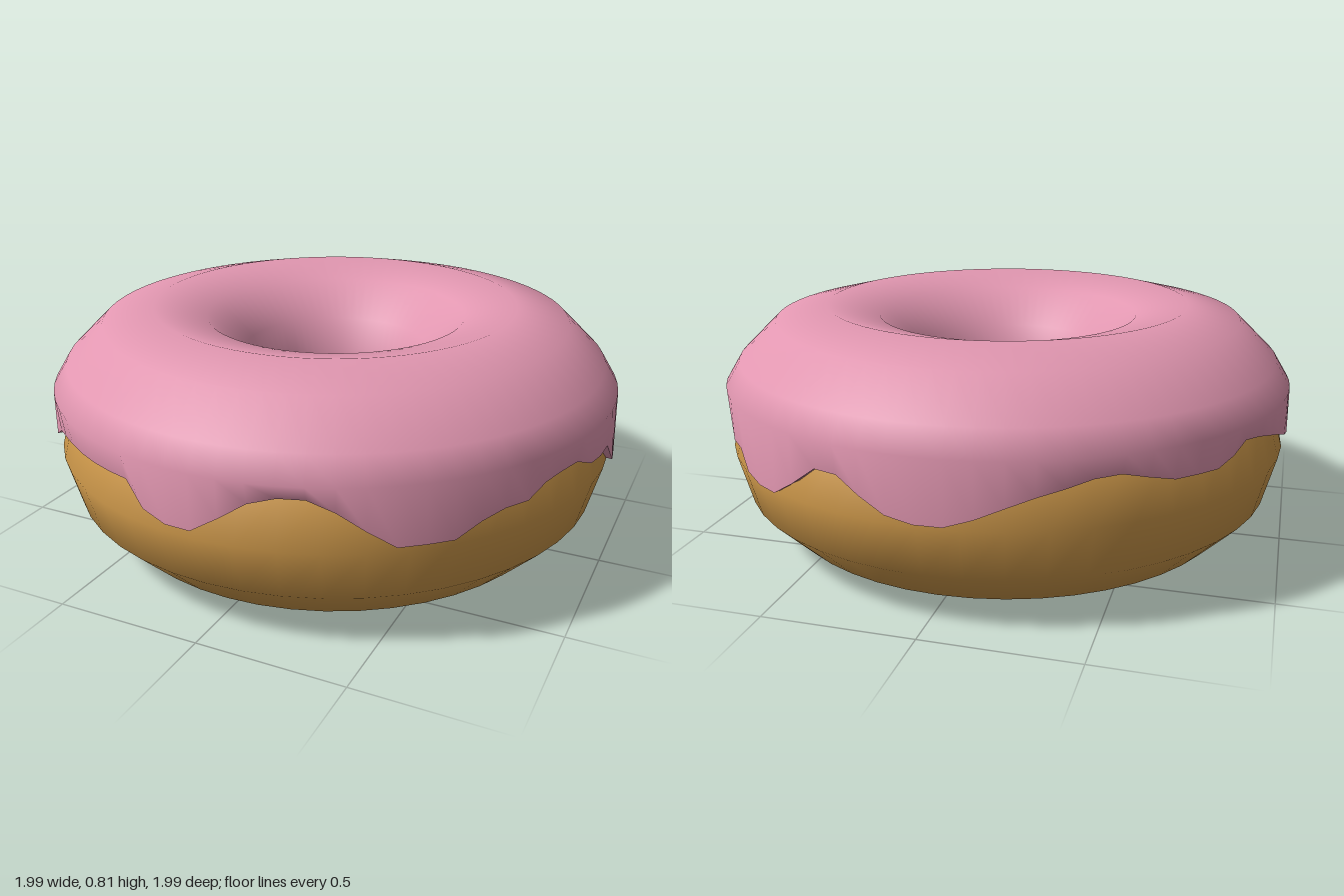
import * as THREE from 'three';

const R = 0.635, TUBE = 0.345, SEGMENTS = 72;

// Lower rim height of the icing: [degrees from +x toward +z, y]
const DRIPS = [
  [0, 0.43], [9, 0.43], [15, 0.47], [24, 0.47], [29, 0.43], [38, 0.43], [44, 0.37], [55, 0.37],
  [68, 0.505], [78, 0.505], [90, 0.38], [98, 0.38], [105, 0.47], [128, 0.465], [135, 0.45],
  [143, 0.38], [152, 0.38], [166, 0.45], [174, 0.4], [182, 0.4], [191, 0.45], [204, 0.5],
  [214, 0.45], [225, 0.455], [237, 0.5], [252, 0.44], [264, 0.36], [273, 0.36], [288, 0.49],
  [299, 0.35], [309, 0.35], [313, 0.42], [320, 0.42], [324, 0.455], [335, 0.46], [340, 0.42],
  [345, 0.33], [354, 0.33], [360, 0.43],
];

function dripHeight(deg) {
  const i = Math.max(1, DRIPS.findIndex((d) => d[0] >= deg));
  const [a0, y0] = DRIPS[i - 1], [a1, y1] = DRIPS[i];
  return y0 + (y1 - y0) * (deg - a0) / (a1 - a0);
}

// Horizontal half-width of the dough's cross-section at height y
const doughHalf = (y) => Math.sqrt(Math.max(0, TUBE * TUBE - (y - TUBE) ** 2));

// Closed ring surface swept from profile(deg), a list of [radius, y, xShift]
function sweep(profile) {
  const pos = [], index = [];
  const n = profile(0).length;
  for (let j = 0; j < SEGMENTS; j++) {
    const deg = (j * 360) / SEGMENTS, a = THREE.MathUtils.degToRad(deg);
    for (const [r, y, dx = 0] of profile(deg)) pos.push(r * Math.cos(a) + dx, y, r * Math.sin(a));
    const next = (j + 1) % SEGMENTS;
    for (let k = 0; k < n - 1; k++) {
      const p = j * n + k, q = next * n + k;
      index.push(p, q, p + 1, q, q + 1, p + 1);
    }
  }
  const g = new THREE.BufferGeometry();
  g.setAttribute('position', new THREE.Float32BufferAttribute(pos, 3));
  g.setIndex(index);
  g.computeVertexNormals();
  return g;
}

export function createModel() {
  const dough = new THREE.MeshStandardMaterial({ color: 0xd09a4b });
  dough.name = 'golden dough';
  const icing = new THREE.MeshStandardMaterial({ color: 0xe297b1 });
  icing.name = 'pink icing';

  const group = new THREE.Group();
  group.name = 'donut';
  const add = (name, geometry, material) => {
    const mesh = new THREE.Mesh(geometry, material);
    mesh.name = name;
    group.add(mesh);
  };

  // Dough ring
  const ring = new THREE.TorusGeometry(R, TUBE, 12, 48);
  ring.rotateX(-Math.PI / 2);
  ring.translate(0, TUBE, 0);
  add('dough', ring, dough);

  // Rims of the icing: gently wavy in the hole, dripping outside
  const innerRim = (deg) => {
    const a = THREE.MathUtils.degToRad(deg);
    return [0.282, 0.43 + 0.012 * Math.sin(7 * a) + 0.01 * Math.sin(11 * a + 1), -0.008];
  };
  const outerRim = (deg) => {
    const y = dripHeight(deg);
    return [R + doughHalf(y) + 0.018, y];
  };

  // Icing top
  add('icing', sweep((deg) => [
    innerRim(deg), [0.277, 0.49, -0.008], [0.325, 0.64], [0.455, 0.765], [R, 0.81],
    [0.815, 0.765], [0.943, 0.64], [0.992, 0.56], outerRim(deg),
  ]), icing);

  // Undersides of the icing rims, closing the gap to the dough
  add('icingOuterLip', sweep((deg) => {
    const [r, y] = outerRim(deg);
    return [[r, y], [r - 0.045, y + 0.004]];
  }), icing);
  add('icingInnerLip', sweep((deg) => {
    const [r, y, dx] = innerRim(deg);
    return [[r + 0.045, y + 0.004, dx], [r, y, dx]];
  }), icing);

  return group;
}
